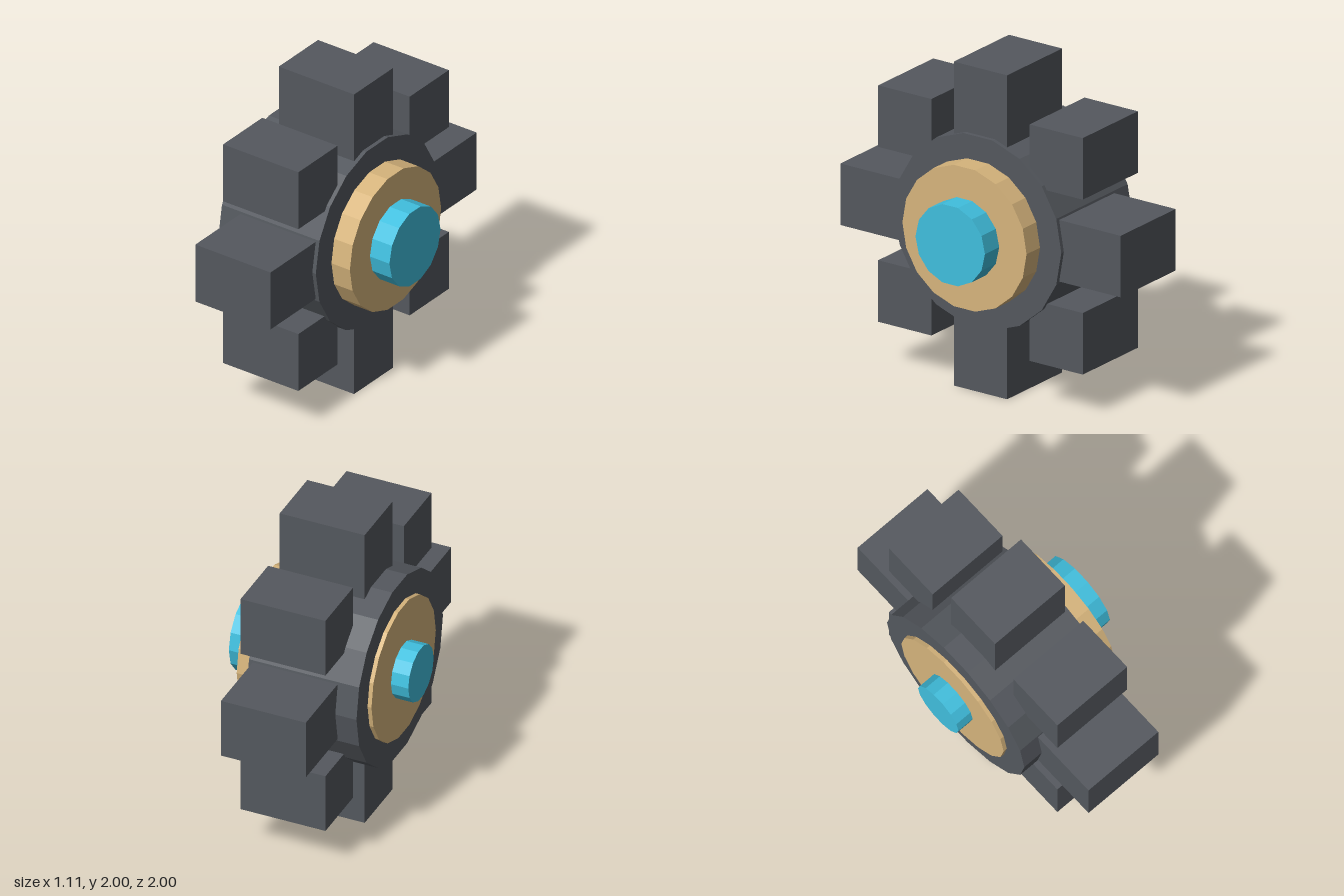
import * as THREE from 'three';

const material = (name, color) => {
  const m = new THREE.MeshStandardMaterial({ color, flatShading: true });
  m.name = name;
  return m;
};

export function createModel() {
  const grey = material('dark grey', 0x54585e);
  const tan = material('tan', 0xd6b47c);
  const cyan = material('cyan', 0x40bfde);

  const wheel = new THREE.Group();
  wheel.name = 'spikedWheel';

  const add = (name, geometry, mat, x, y, z) => {
    const mesh = new THREE.Mesh(geometry, mat);
    mesh.name = name;
    mesh.position.set(x, y, z);
    wheel.add(mesh);
  };

  // Discs lying along the x axle
  const disc = (name, mat, radius, sides, x0, x1) => {
    const geometry = new THREE.CylinderGeometry(radius, radius, x1 - x0, sides);
    geometry.rotateZ(-Math.PI / 2);
    add(name, geometry, mat, (x0 + x1) / 2, 1, 0);
  };
  disc('wheelDrum', grey, 0.595, 18, -0.42, 0.28);
  disc('hubRing', tan, 0.443, 18, -0.445, 0.412);
  disc('outerAxleCap', cyan, 0.248, 14, 0.4, 0.552);
  disc('innerAxleCap', cyan, 0.175, 14, -0.555, -0.43);

  // Square treads: four long ones on the axes, four cubes on the diagonals
  const width = 0.54, size = 0.38, x = -0.015;
  for (const s of [-1, 1]) {
    add('verticalTread', new THREE.BoxGeometry(width, 0.6, size), grey, x, 1 + s * 0.7, 0);
    add('horizontalTread', new THREE.BoxGeometry(width, size, 0.6), grey, x, 1, s * 0.7);
    for (const t of [-1, 1]) {
      add('diagonalTread', new THREE.BoxGeometry(width, size, size), grey, x, 1.003 + s * 0.54, t * 0.54);
    }
  }
  return wheel;
}
